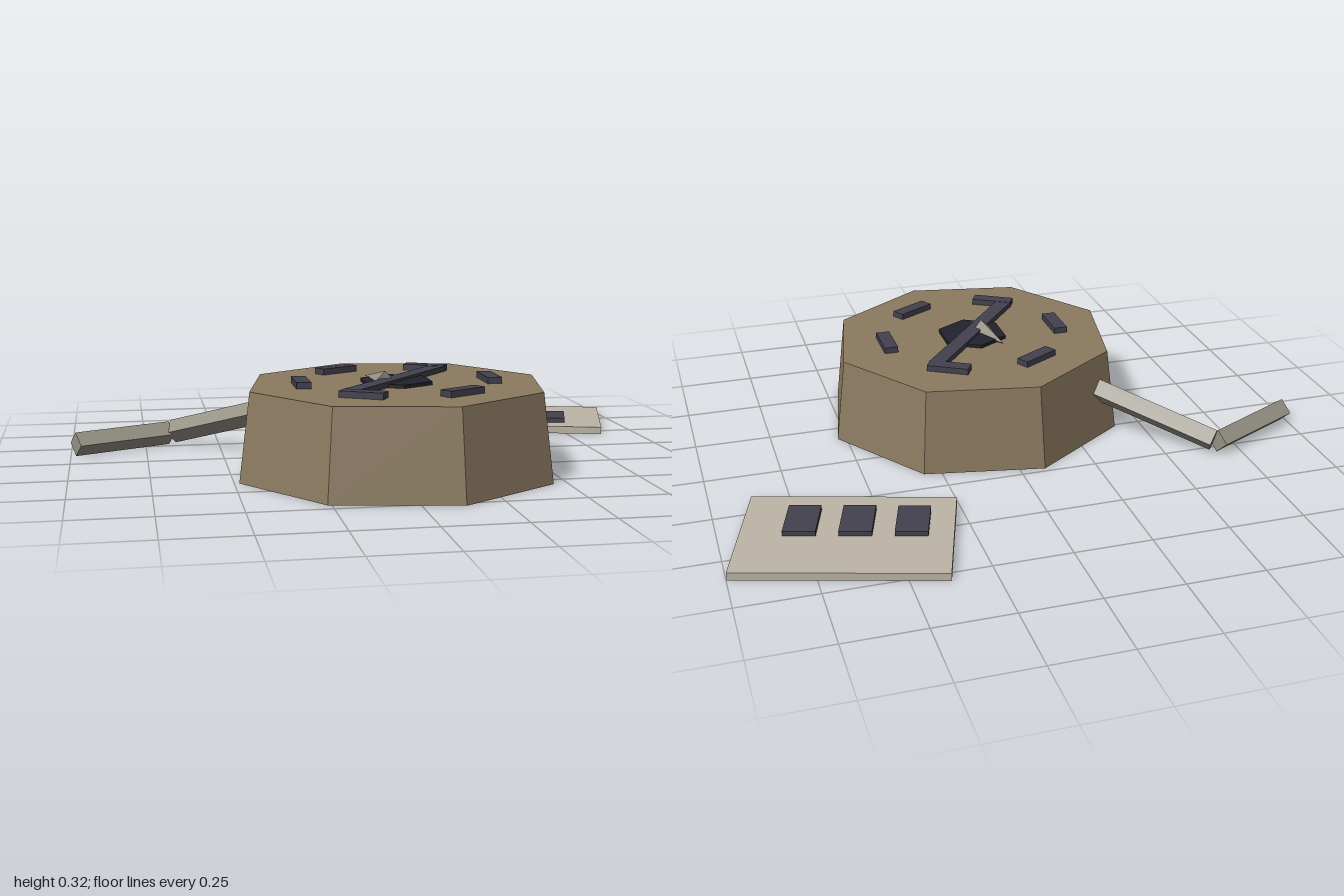
import * as THREE from 'three';

const mat = (name, color) => {
  const m = new THREE.MeshStandardMaterial({ color, flatShading: true });
  m.name = name;
  return m;
};

export function createModel() {
  const brown = mat('drum brown', 0x8b7a60);
  const slate = mat('dark slate', 0x42414e);
  const ink = mat('hub black', 0x23222d);
  const metal = mat('dull metal', 0x959084);
  const paper = mat('pale board', 0xbcb5a6);

  const model = new THREE.Group();
  model.name = 'drumMechanism';
  const add = (parent, name, geometry, material, x = 0, y = 0, z = 0, turn = 0) => {
    const mesh = new THREE.Mesh(geometry, material);
    mesh.name = name;
    mesh.position.set(x, y, z);
    mesh.rotation.y = turn;
    parent.add(mesh);
    return mesh;
  };
  // Four-sided bar or spike running from a to b, standing on its edge
  const rod = (parent, name, a, b, r0, r1, material) => {
    const from = new THREE.Vector3(...a), to = new THREE.Vector3(...b);
    const geometry = new THREE.CylinderGeometry(r1, r0, from.distanceTo(to), 4);
    geometry.rotateX(Math.PI / 2); // axis along +z, corners up and sideways
    const mesh = add(parent, name, geometry, material);
    mesh.position.copy(from).lerp(to, 0.5);
    mesh.lookAt(to);
    return mesh;
  };

  // Eight-sided tapered drum
  const drum = new THREE.Group();
  drum.name = 'drum';
  drum.position.set(0.0225, 0, 0.275);
  model.add(drum);
  add(drum, 'drumBody', new THREE.CylinderGeometry(0.482, 0.518, 0.28, 8), brown,
    0, 0.14, 0, THREE.MathUtils.degToRad(11.6));

  // Ring of six markers on the lid
  for (let i = 0; i < 6; i++) {
    const a = i * Math.PI / 3;
    add(drum, 'lidMarker', new THREE.BoxGeometry(0.046, 0.02, 0.14), slate,
      Math.cos(a) * 0.302, 0.29, -Math.sin(a) * 0.302, a);
  }

  // Hexagonal hub, crossing bar and pointer
  add(drum, 'hub', new THREE.CylinderGeometry(0.12, 0.12, 0.012, 6), ink, 0, 0.285, 0);
  add(drum, 'crossBar', new THREE.BoxGeometry(0.6, 0.018, 0.052), slate,
    0, 0.29, 0, Math.atan2(0.475, 0.385));
  rod(drum, 'pointer', [0.0, 0.287, 0.0], [-0.118, 0.29, -0.095], 0.035, 0, metal);

  // Bent crank arm
  const crank = new THREE.Group();
  crank.name = 'crank';
  model.add(crank);
  rod(crank, 'crankArm', [-0.655, 0.045, -0.285], [-0.3, 0.17, 0.005], 0.04, 0.04, metal);
  rod(crank, 'crankHandle', [-0.67, 0.04, -0.285], [-0.983, 0.04, -0.13], 0.04, 0.04, metal);

  // Loose board with three tiles
  const board = new THREE.Group();
  board.name = 'board';
  board.position.set(0.627, 0, -0.489);
  board.rotation.y = THREE.MathUtils.degToRad(-17);
  model.add(board);
  add(board, 'boardSheet', new THREE.BoxGeometry(0.643, 0.025, 0.438), paper, 0, 0.0125, 0);
  for (let i = -1; i <= 1; i++) {
    add(board, 'boardTile', new THREE.BoxGeometry(0.1, 0.016, 0.155), slate,
      -0.027 + i * 0.168, 0.033, 0.061);
  }
  return model;
}
